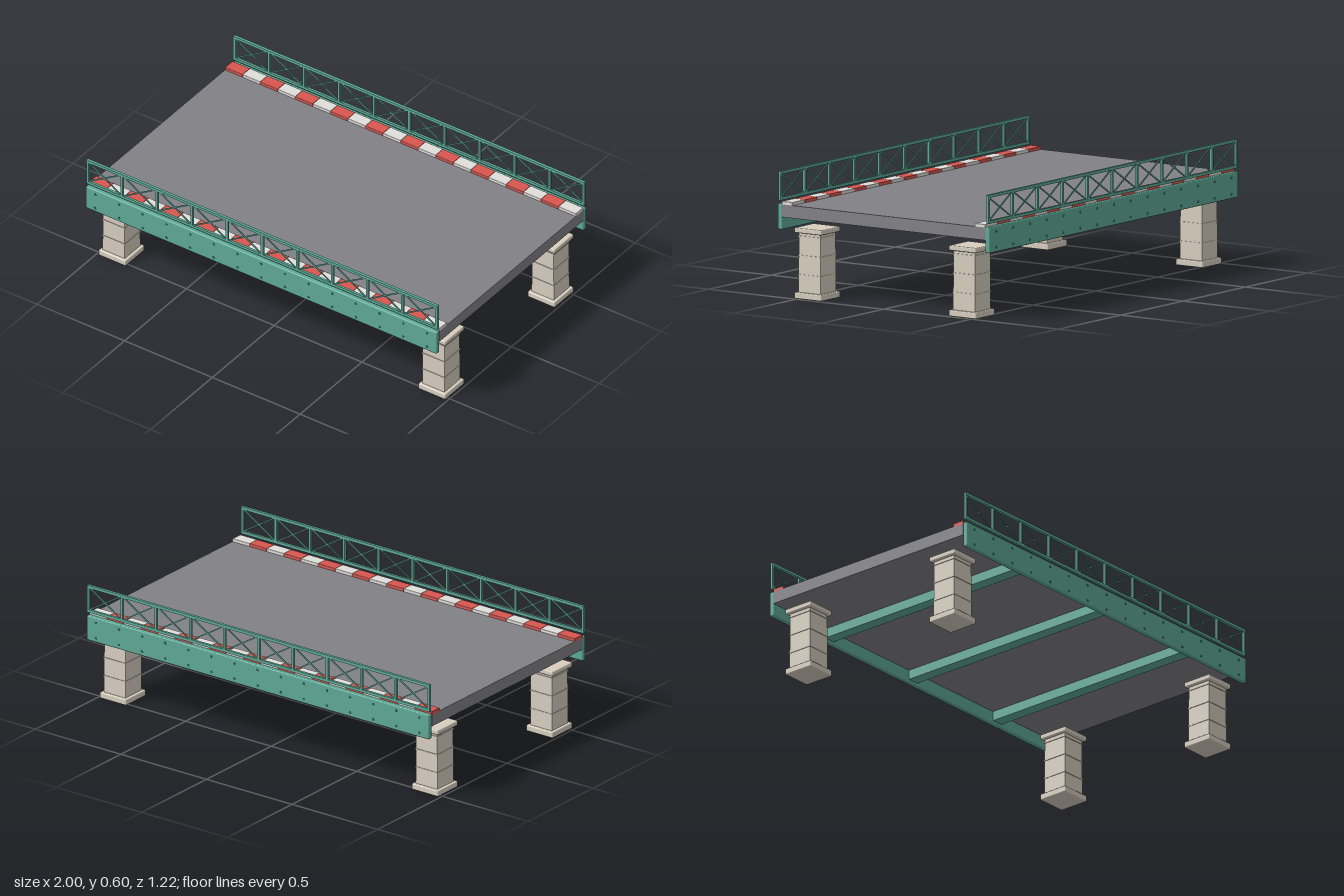
import * as THREE from 'three';
import { RoundedBoxGeometry } from 'three/addons/geometries/RoundedBoxGeometry.js';

const paint = (color) => new THREE.MeshStandardMaterial({ color });
const green = paint(0x5faa98), darkGreen = paint(0x3f7f70), asphalt = paint(0x828186);
const red = paint(0xd9564f), white = paint(0xe0dfdb), stone = paint(0xd8cfc0);

function add(parent, name, geometry, material, x, y, z) {
  const mesh = new THREE.Mesh(geometry, material);
  mesh.name = name;
  mesh.position.set(x, y, z);
  parent.add(mesh);
  return mesh;
}
const box = (w, h, d) => new THREE.BoxGeometry(w, h, d);
const softBox = (w, h, d, r) => new RoundedBoxGeometry(w, h, d, 2, r);

function makeGroup(parent, name) {
  const group = new THREE.Group();
  group.name = name;
  parent.add(group);
  return group;
}

// Stone pier: plinth, slightly tapered shaft with joint bands, cap
function addPier(parent, x, z) {
  const pier = makeGroup(parent, 'pier');
  pier.position.set(x, 0, z);
  add(pier, 'plinth', softBox(0.155, 0.03, 0.155, 0.005), stone, 0, 0.015, 0);
  const shaft = box(0.126, 0.28, 0.126);
  const p = shaft.attributes.position;
  for (let i = 0; i < p.count; i++) {
    if (p.getY(i) > 0) p.setXYZ(i, p.getX(i) * 0.97, p.getY(i), p.getZ(i) * 0.97);
  }
  shaft.computeVertexNormals();
  add(pier, 'shaft', shaft, stone, 0, 0.17, 0);
  for (const y of [0.112, 0.203, 0.294]) {
    add(pier, 'jointBand', box(0.13, 0.006, 0.13), stone, 0, y, 0);
  }
  add(pier, 'cap', softBox(0.155, 0.024, 0.155, 0.005), stone, 0, 0.323, 0);
}

// Plate girder with two rows of bolts on its outer face
function addGirder(parent, side) {
  const girder = makeGroup(parent, 'girder');
  add(girder, 'girderPlate', softBox(2, 0.123, 0.025, 0.005), green, 0, 0.382, side * 0.5935);
  const bolt = new THREE.CylinderGeometry(0.006, 0.006, 0.008, 8).rotateX(Math.PI / 2);
  for (let i = 0; i < 15; i++) {
    for (const y of [0.342, 0.419]) {
      add(girder, 'bolt', bolt, darkGreen, -0.945 + i * 0.135, y, side * 0.605);
    }
  }
}

// Railing of ten cross-braced panels
function addRailing(parent, side) {
  const railing = makeGroup(parent, 'railing');
  const z = side * 0.594, low = 0.465, high = 0.588, panel = 0.2;
  add(railing, 'topRail', box(2, 0.014, 0.014), green, 0, high, z);
  add(railing, 'bottomRail', box(2, 0.014, 0.012), green, 0, low, z);
  for (let i = 0; i <= 10; i++) {
    const x = THREE.MathUtils.clamp(-1 + i * panel, -0.994, 0.994);
    add(railing, 'post', box(0.012, high - low, 0.012), green, x, (low + high) / 2, z);
  }
  const brace = box(Math.hypot(panel, high - low) - 0.012, 0.006, 0.005);
  for (let i = 0; i < 10; i++) {
    for (const slope of [-1, 1]) {
      const diagonal = add(railing, 'brace', brace, green, -0.9 + i * panel, (low + high) / 2, z);
      diagonal.rotation.z = slope * Math.atan2(high - low, panel);
    }
  }
}

// Kerb of alternating red and white blocks
function addKerb(parent, side) {
  const kerb = makeGroup(parent, 'kerb');
  const block = softBox(0.1, 0.022, 0.061, 0.003);
  for (let i = 0; i < 20; i++) {
    add(kerb, 'kerbBlock', block, i % 2 ? white : red, -0.95 + i * 0.1, 0.444, side * 0.5515);
  }
}

export function createModel() {
  const bridge = new THREE.Group();
  bridge.name = 'bridge';
  add(bridge, 'roadDeck', box(2, 0.06, 1.164), asphalt, 0, 0.41, 0);
  for (const x of [-0.6, 0, 0.6]) {
    add(bridge, 'crossBeam', box(0.06, 0.047, 1.164), green, x, 0.3575, 0);
  }
  for (const side of [-1, 1]) {
    addGirder(bridge, side);
    addRailing(bridge, side);
    addKerb(bridge, side);
    for (const x of [-0.911, 0.911]) addPier(bridge, x, side * 0.442);
  }
  return bridge;
}
